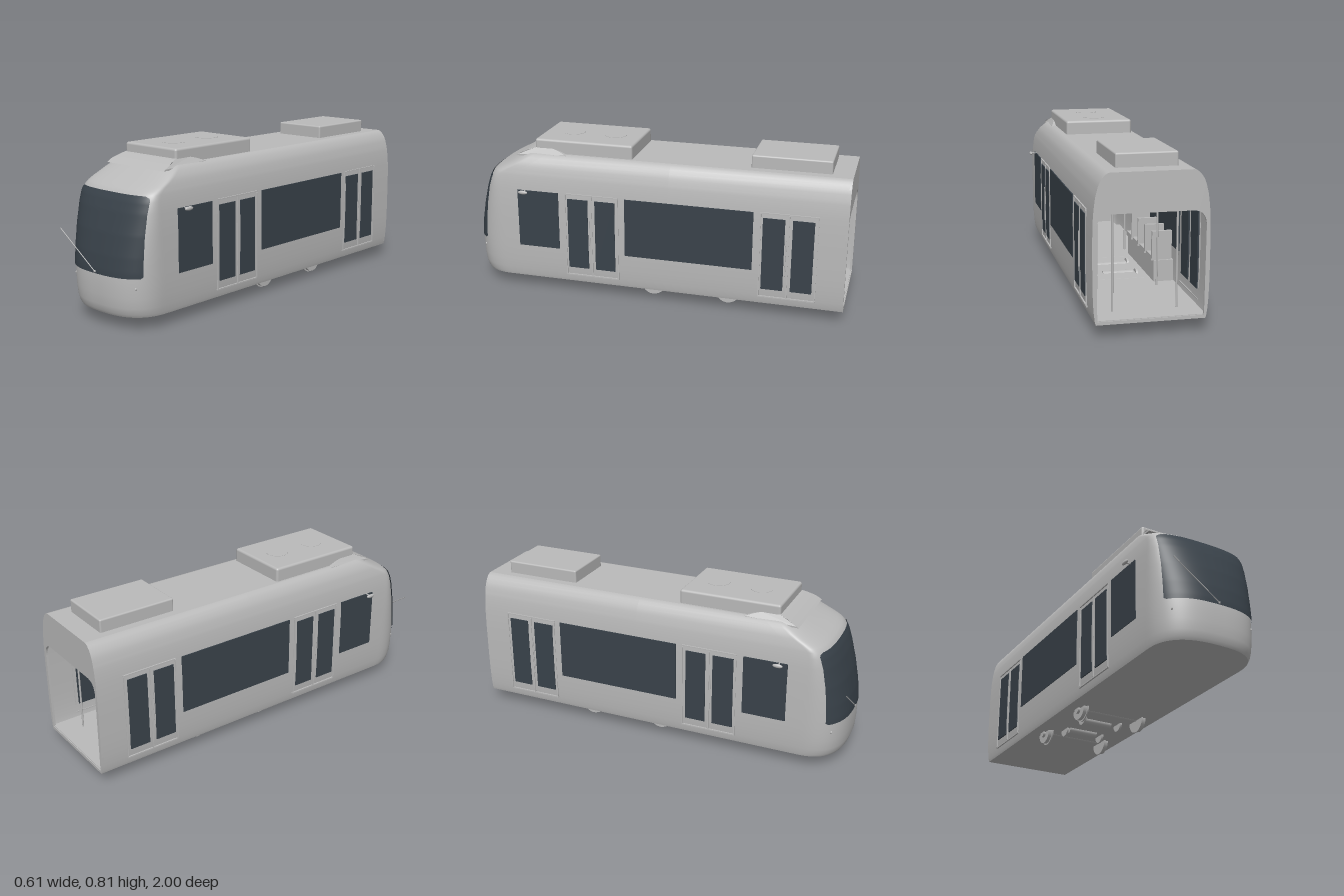
import * as THREE from 'three';
import { RoundedBoxGeometry } from 'three/addons/geometries/RoundedBoxGeometry.js';

const grey = new THREE.MeshStandardMaterial({ color: 0xbababa, side: THREE.DoubleSide });
grey.name = 'body grey';
const glass = new THREE.MeshStandardMaterial({ color: 0x39424a, side: THREE.DoubleSide });
glass.name = 'dark glass';

// Body slices: height, half width, nose tip z, depth of the nose curve
const ROWS = [
  [0.065, 0.25, 0.968, 0.2], [0.08, 0.254, 0.977, 0.2], [0.11, 0.258, 0.985, 0.2], [0.16, 0.262, 0.989, 0.2],
  [0.22, 0.264, 0.99, 0.2], [0.28, 0.265, 0.987, 0.195], [0.35, 0.265, 0.977, 0.18], [0.45, 0.265, 0.955, 0.15],
  [0.55, 0.262, 0.925, 0.115], [0.6, 0.257, 0.905, 0.095], [0.63, 0.253, 0.888, 0.088], [0.645, 0.25, 0.87, 0.085],
  [0.66, 0.246, 0.845, 0.083], [0.68, 0.241, 0.805, 0.08], [0.7, 0.233, 0.77, 0.078], [0.72, 0.22, 0.735, 0.075],
  [0.732, 0.209, 0.715, 0.075], [0.739, 0.198, 0.703, 0.075], [0.742, 0.187, 0.695, 0.075],
];
const N = 2.6;

function slice(y) {
  let k = 0;
  while (k < ROWS.length - 2 && y > ROWS[k + 1][0]) k++;
  const a = ROWS[k], b = ROWS[k + 1], t = (y - a[0]) / (b[0] - a[0]);
  return a.map((v, i) => v + (b[i] - v) * t);
}

// Plan outline of one slice, from the rear +x corner round the nose to the rear -x corner
function plan([, w, tip, d]) {
  const pts = [[w, -1], [w, -0.1], [w, tip - d - 0.06]];
  for (let i = 0; i <= 48; i++) {
    const a = Math.PI * i / 48, c = Math.cos(a), s = Math.max(0, Math.sin(a));
    pts.push([w * Math.sign(c) * Math.abs(c) ** (2 / N), tip - d + d * s ** (2 / N)]);
  }
  pts.push([-w, tip - d - 0.06], [-w, -0.1], [-w, -1]);
  return pts;
}

// Inset of a rounded corner of radius r, at distance t into the corner
const inset = (r, t) => r - Math.sqrt(Math.max(0, r * r - Math.max(0, t) ** 2));

// Skin over rows of [x, y, z] points
function skin(rows) {
  const n = rows[0].length, index = [];
  for (let j = 0; j < rows.length - 1; j++) for (let i = 0; i < n - 1; i++) {
    const a = j * n + i, b = a + 1, c = a + n, d = c + 1;
    index.push(a, c, b, b, c, d);
  }
  const g = new THREE.BufferGeometry();
  g.setAttribute('position', new THREE.Float32BufferAttribute(rows.flat(2), 3));
  g.setIndex(index);
  g.computeVertexNormals();
  return g;
}

export function createModel() {
  const model = new THREE.Group();
  model.name = 'tram';
  const add = (name, geo, mat = grey, x = 0, y = 0, z = 0) => {
    const m = new THREE.Mesh(geo, mat);
    m.name = name;
    m.position.set(x, y, z);
    model.add(m);
    return m;
  };
  const box = (name, w, h, d, x, y, z, mat = grey) => add(name, new THREE.BoxGeometry(w, h, d), mat, x, y, z);
  const rod = (name, from, to, r) => add(name, new THREE.TubeGeometry(
    new THREE.LineCurve3(new THREE.Vector3(...from), new THREE.Vector3(...to)), 1, r, 8));
  const disc = (name, r, w, x, y, z) =>
    add(name, new THREE.CylinderGeometry(r, r, w, 32).rotateZ(Math.PI / 2), grey, x, y, z);

  // Shell, roof and underside
  add('bodyShell', skin(ROWS.map((r) => plan(r).map(([x, z]) => [x, r[0], z]))));
  const cap = (row, s) => new THREE.ShapeGeometry(
    new THREE.Shape(plan(row).map(([x, z]) => new THREE.Vector2(x, s * z))));
  add('roof', cap(ROWS.at(-1), -1).rotateX(-Math.PI / 2), grey, 0, 0.742, 0);
  add('underside', cap(ROWS[0], 1).rotateX(Math.PI / 2), grey, 0, 0.065, 0);

  // Rear end frame with its gangway opening
  const frame = new THREE.Shape([
    ...ROWS.map(([y, w]) => new THREE.Vector2(w, y)),
    ...[...ROWS].reverse().map(([y, w]) => new THREE.Vector2(-w, y)),
  ]);
  const hole = new THREE.Path();
  hole.moveTo(-0.243, 0.08).lineTo(-0.247, 0.49);
  hole.quadraticCurveTo(-0.247, 0.56, -0.18, 0.56).lineTo(0.18, 0.56);
  hole.quadraticCurveTo(0.247, 0.56, 0.247, 0.49).lineTo(0.243, 0.08);
  frame.holes.push(hole);
  add('rearFrame', new THREE.ExtrudeGeometry(frame, { depth: 0.012, bevelEnabled: false }), grey, 0, 0, -1);

  // Windshield, following the nose just outside the shell
  const shield = [];
  for (let j = 0; j <= 40; j++) {
    const y = 0.256 + 0.372 * j / 40;
    const [, w0, tip, d] = slice(y), w = w0 + 0.004;
    const half = 0.242 - inset(0.025, y - 0.603) - inset(0.008, 0.264 - y);
    shield.push(Array.from({ length: 49 }, (_, i) => {
      const x = half * Math.cos(Math.PI * i / 48);
      return [x, y, tip - d + 0.004 + d * (1 - Math.abs(x / w) ** N) ** (1 / N)];
    }));
  }
  add('windshield', skin(shield), glass);

  // Wiper
  rod('wiperArm', [0, 0.265, 0.994], [-0.24, 0.433, 0.998], 0.0022);
  add('wiperPivot', new THREE.SphereGeometry(0.006, 12, 8), grey, 0, 0.265, 0.992);

  for (const s of [1, -1]) {
    // Side windows
    const pane = (name, z0, z1, y0, y1) =>
      box(name, 0.009, y1 - y0, z1 - z0, s * 0.2625, (y0 + y1) / 2, (z0 + z1) / 2, glass);
    pane('cabWindow', 0.485, 0.71, 0.247, 0.555);
    pane('saloonWindow', -0.537, 0.127, 0.247, 0.555);

    // Double doors with tracks, seals and handles
    for (const z of [0.305, -0.715]) {
      pane('doorGlass', z + 0.02, z + 0.13, 0.15, 0.53);
      pane('doorGlass', z - 0.125, z - 0.018, 0.15, 0.53);
      box('doorTopTrack', 0.008, 0.006, 0.29, s * 0.264, 0.556, z);
      box('doorSill', 0.01, 0.006, 0.29, s * 0.26, 0.107, z);
      for (const e of [-0.142, 0, 0.142]) box('doorSeal', 0.006, 0.44, 0.005, s * 0.264, 0.33, z + e);
      rod('doorHandle', [s * 0.269, 0.23, z + 0.01], [s * 0.269, 0.42, z + 0.01], 0.002);
    }

    // Mirrors and marker lamps
    rod('mirrorArm', [s * 0.258, 0.553, 0.668], [s * 0.296, 0.553, 0.668], 0.004);
    add('mirror', new THREE.SphereGeometry(0.01, 16, 12), grey, s * 0.295, 0.553, 0.668).scale.set(0.8, 1, 2.6);
    add('markerLamp', new THREE.SphereGeometry(0.006, 12, 8), grey, s * 0.215, 0.208, 0.932).scale.set(0.7, 1.2, 1);

    // Wheels, brake discs and axle boxes
    for (const z of [0, -0.4]) {
      disc('wheel', 0.058, 0.024, s * 0.17, 0.067, z);
      disc('wheelFlange', 0.065, 0.007, s * 0.16, 0.067, z);
      disc('wheelHub', 0.02, 0.03, s * 0.18, 0.06, z);
      disc('brakeDisc', 0.036, 0.01, s * 0.105, 0.064, z + (z ? 0.1 : -0.1));
    }

    // Interior seats, poles and grab rail
    for (let i = 0; i < 4; i++) {
      const z = -0.42 + i * 0.14;
      box('seatCushion', 0.1, 0.025, 0.1, s * 0.19, 0.2, z);
      box('seatBack', 0.1, 0.14, 0.018, s * 0.19, 0.27, z - 0.055);
    }
    box('seatBase', 0.1, 0.11, 0.54, s * 0.2, 0.135, -0.21);
    for (const z of [-0.88, -0.54, 0.14, 0.46]) rod('pole', [s * 0.15, 0.08, z], [s * 0.15, 0.6, z], 0.005);
    rod('grabRail', [s * 0.15, 0.54, -0.88], [s * 0.15, 0.54, 0.46], 0.004);
  }

  // Axles and traction motors under the floor
  for (const z of [0, -0.4]) rod('axle', [-0.17, 0.072, z], [0.17, 0.072, z], 0.012);
  for (const z of [-0.12, -0.28]) disc('motor', 0.024, 0.16, -0.015, 0.066, z);

  // Floor, ceiling and driver's desk
  box('floor', 0.505, 0.006, 1.7, 0, 0.08, -0.145);
  box('ceiling', 0.5, 0.006, 1.6, 0, 0.605, -0.19);
  box('driverDesk', 0.4, 0.14, 0.12, 0, 0.17, 0.8);

  // Roof equipment boxes and fans
  add('frontRoofUnit', new RoundedBoxGeometry(0.354, 0.085, 0.525, 3, 0.012), grey, 0, 0.7705, 0.3725);
  add('rearRoofUnit', new RoundedBoxGeometry(0.287, 0.078, 0.4, 3, 0.008), grey, -0.002, 0.768, -0.697);
  for (const z of [0.25, 0.48])
    add('roofFan', new THREE.CylinderGeometry(0.057, 0.057, 0.004, 32), grey, 0, 0.8125, z);

  // Roof fairing ahead of the front unit, narrowing towards its top
  const hump = new THREE.Shape();
  hump.moveTo(0.45, 0.735).quadraticCurveTo(0.53, 0.772, 0.6, 0.772);
  hump.quadraticCurveTo(0.66, 0.768, 0.735, 0.722).lineTo(0.45, 0.722);
  const fairing = new THREE.ExtrudeGeometry(hump, { depth: 0.4, bevelEnabled: false, curveSegments: 12 });
  fairing.translate(0, 0, -0.2).rotateY(-Math.PI / 2);
  const p = fairing.attributes.position;
  for (let i = 0; i < p.count; i++) p.setX(i, p.getX(i) * (1 - Math.max(0, p.getY(i) - 0.74) * 4.5));
  fairing.computeVertexNormals();
  add('roofFairing', fairing);

  return model;
}
